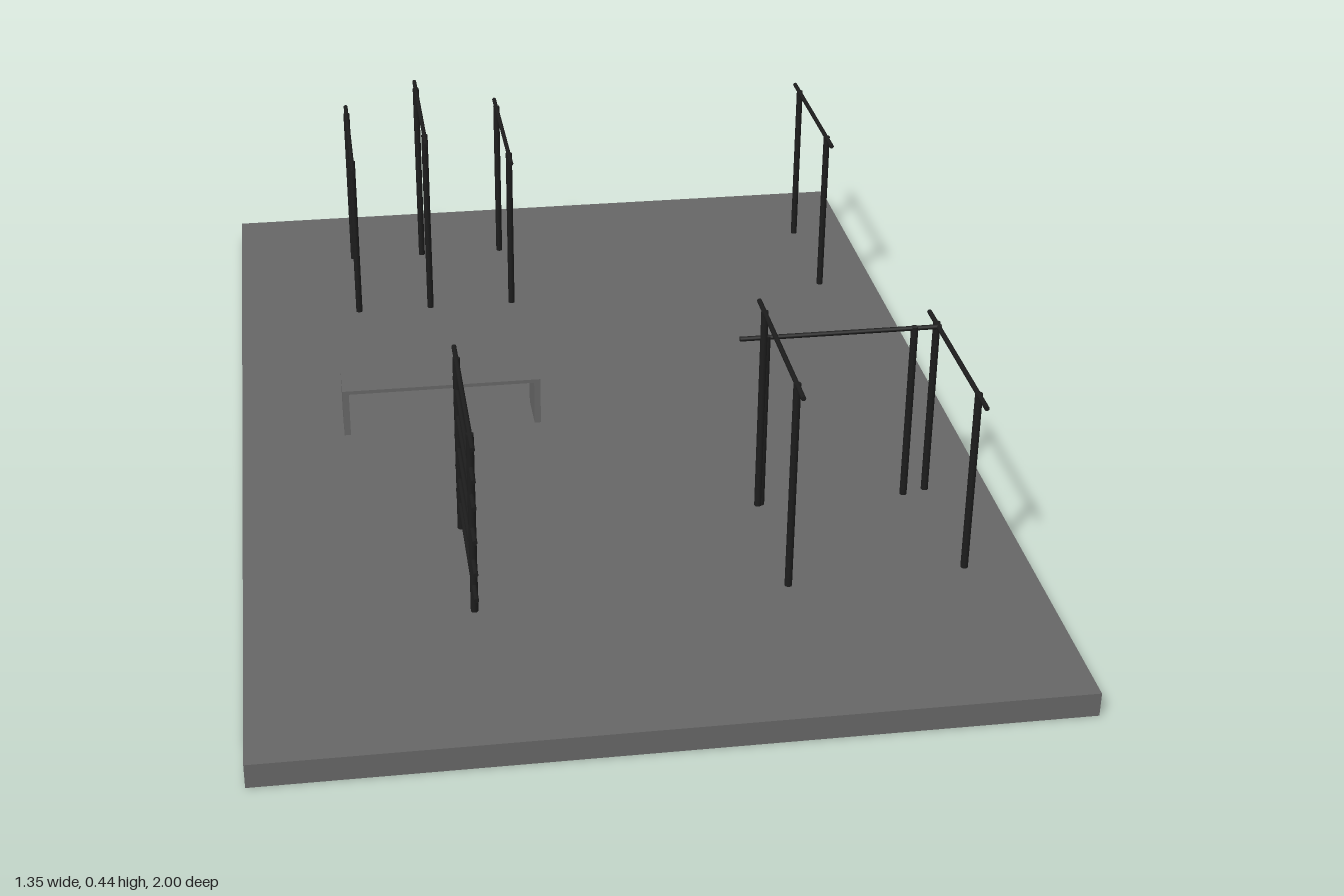
import * as THREE from 'three';

const DECK = 0.043; // top of the ground slab
const dark = new THREE.MeshStandardMaterial({ color: 0x1c1c1c });
const grey = new THREE.MeshStandardMaterial({ color: 0x666666 });

function box(name, x0, x1, y0, y1, z0, z1) {
  const m = new THREE.Mesh(new THREE.BoxGeometry(x1 - x0, y1 - y0, z1 - z0), grey);
  m.name = name;
  m.position.set((x0 + x1) / 2, (y0 + y1) / 2, (z0 + z1) / 2);
  return m;
}

// Two posts joined by one or more horizontal bars that overhang the posts
function barFrame(name, x, z, barHeights, alongX = false) {
  const frame = new THREE.Group();
  frame.name = name;
  const top = Math.max(...barHeights) + 0.003;
  for (const side of [-1, 1]) {
    const post = new THREE.Mesh(new THREE.CylinderGeometry(0.0065, 0.0065, top - DECK, 16), dark);
    post.name = 'post';
    post.position.set(0, (DECK + top) / 2, side * 0.132);
    frame.add(post);
  }
  for (const y of barHeights) {
    const bar = new THREE.Mesh(new THREE.CylinderGeometry(0.0043, 0.0043, 0.36, 12), dark);
    bar.name = 'bar';
    bar.rotation.x = Math.PI / 2;
    bar.position.y = y;
    frame.add(bar);
  }
  frame.position.set(x, 0, z);
  if (alongX) frame.rotation.y = Math.PI / 2;
  return frame;
}

export function createModel() {
  const model = new THREE.Group();
  model.name = 'workoutPark';

  model.add(box('groundSlab', -0.675, 0.675, 0, DECK, -1, 1));

  // Pull-up bars at the back
  for (const [x, y] of [[-0.43, 0.381], [-0.28, 0.431], [-0.108, 0.381], [0.56, 0.381]]) {
    model.add(barFrame('backPullUpBar', x, -0.65, [y]));
  }

  // Pull-up bars at the front, with one turned across
  model.add(barFrame('highPullUpBar', 0.247, 0.495, [0.431]));
  model.add(barFrame('sidePullUpBar', 0.56, 0.48, [0.381]));
  model.add(barFrame('crossPullUpBar', 0.385, 0.36, [0.381], true));

  // Wall bars
  model.add(barFrame('wallBars', -0.29, 0.5, [0.094, 0.144, 0.206, 0.27, 0.321, 0.381]));

  // Bench: thin seat on two panel legs
  const bench = new THREE.Group();
  bench.name = 'bench';
  bench.add(
    box('seat', -0.482, -0.106, 0.13, 0.137, -0.078, 0.008),
    box('rightLeg', -0.482, -0.47, DECK, 0.13, -0.078, 0.008),
    box('leftLeg', -0.118, -0.106, DECK, 0.13, -0.078, 0.008)
  );
  model.add(bench);

  return model;
}
